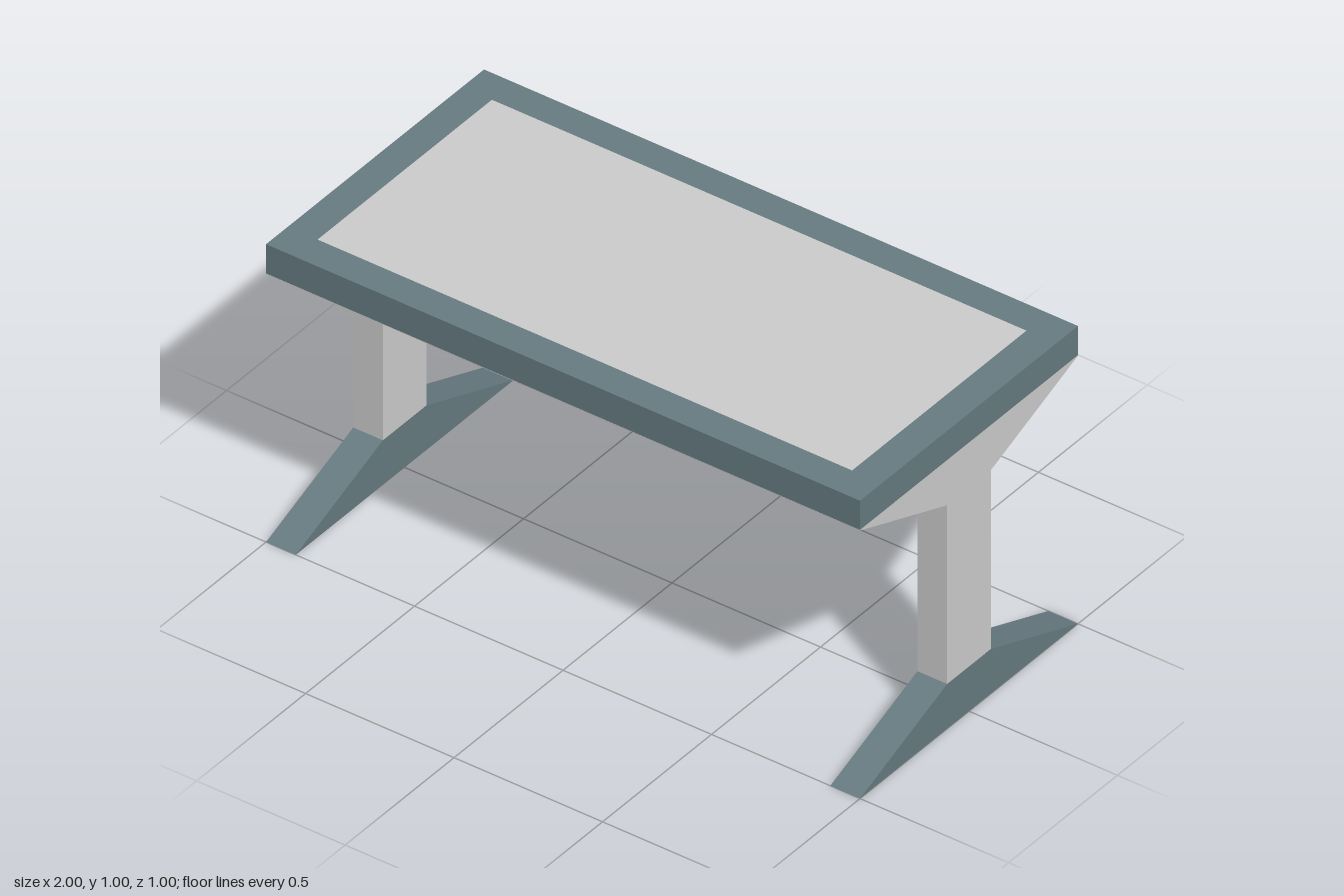
import * as THREE from 'three';

const grey = new THREE.MeshStandardMaterial({ color: 0xcccccc });
const slate = new THREE.MeshStandardMaterial({ color: 0x667b80 });

const outline = (points) => new THREE.Shape(points.map(([x, y]) => new THREE.Vector2(x, y)));
const rectangle = (w, d) => outline([[-w, -d], [w, -d], [w, d], [-w, d]]);
const extrude = (shape, depth) => new THREE.ExtrudeGeometry(shape, { depth, bevelEnabled: false });

export function createModel() {
  const model = new THREE.Group();
  model.name = 'table';

  const add = (name, geometry, material, parent = model) => {
    const mesh = new THREE.Mesh(geometry, material);
    mesh.name = name;
    parent.add(mesh);
    return mesh;
  };

  // Table top: thin underside board, rim with an opening, and a flush inlay
  const bottom = 0.9, top = 1, board = 0.002;
  add('undersideBoard', new THREE.BoxGeometry(2, board, 1), grey).position.y = bottom + board / 2;

  const rim = rectangle(1, 0.5);
  rim.holes.push(rectangle(0.9, 0.4));
  const rimHeight = top - bottom - board;
  add('topRim', extrude(rim, rimHeight).rotateX(-Math.PI / 2), slate).position.y = bottom + board;
  add('topInlay', new THREE.BoxGeometry(1.8, rimHeight, 0.8), grey).position.y = top - rimHeight / 2;

  // Side profiles, drawn across the depth of the table
  const width = 0.1;
  const profile = (points) => extrude(outline(points), width)
    .translate(0, 0, -width / 2)
    .rotateY(-Math.PI / 2);
  const post = profile([
    [-0.1, 0.15], [0.1, 0.15], [0.1, 0.75], [0.5, 0.9], [-0.5, 0.9], [-0.1, 0.75],
  ]);
  const foot = profile([[-0.5, 0], [0.5, 0], [0.1, 0.15], [-0.1, 0.15]]);

  // One flared post on a spreading foot at each end
  for (const side of [1, -1]) {
    const leg = new THREE.Group();
    leg.name = side > 0 ? 'leftLeg' : 'rightLeg';
    leg.position.x = side * 0.95;
    add('post', post, grey, leg);
    add('foot', foot, slate, leg);
    model.add(leg);
  }

  return model;
}
